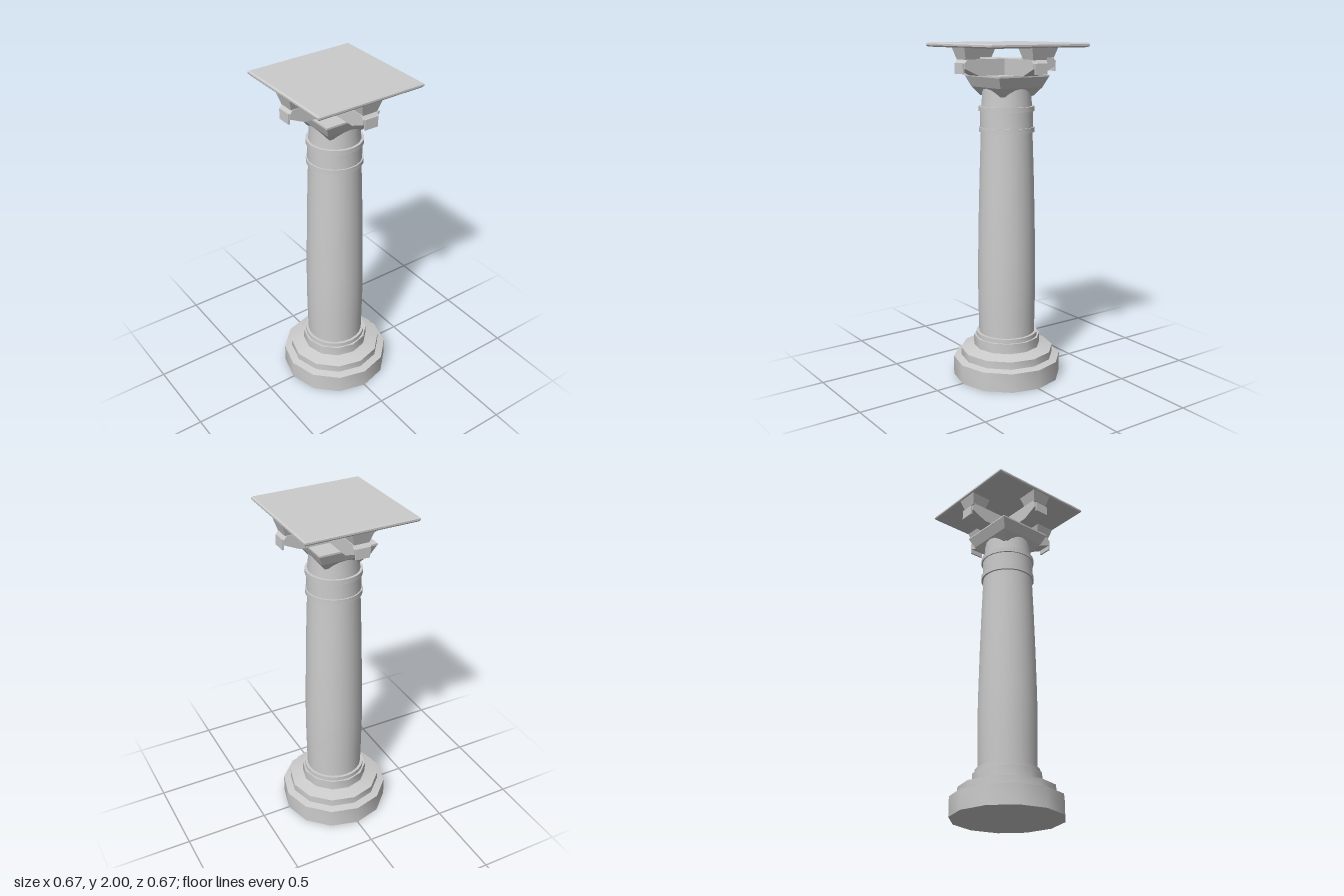
import * as THREE from 'three';
import { toCreasedNormals } from 'three/addons/utils/BufferGeometryUtils.js';

const stone = new THREE.MeshStandardMaterial({ color: 0xcccccc });
stone.name = 'grey stone';

function add(parent, name, geometry) {
  const mesh = new THREE.Mesh(geometry, stone);
  mesh.name = name;
  parent.add(mesh);
  return mesh;
}

// Turned part from [radius, height] pairs, bottom to top
function turned(points, sides, crease) {
  const profile = points.map(([r, y]) => new THREE.Vector2(r, y));
  return toCreasedNormals(new THREE.LatheGeometry(profile, sides), crease);
}

// Square block with different half widths at bottom and top
function taperedBlock(bottomHalf, topHalf, y0, y1) {
  const g = new THREE.BoxGeometry(2, y1 - y0, 2).translate(0, (y0 + y1) / 2, 0);
  const p = g.attributes.position;
  for (let i = 0; i < p.count; i++) {
    const half = p.getY(i) > (y0 + y1) / 2 ? topHalf : bottomHalf;
    p.setX(i, p.getX(i) * half);
    p.setZ(i, p.getZ(i) * half);
  }
  g.computeVertexNormals();
  return g;
}

export function createModel() {
  const column = new THREE.Group();
  column.name = 'column';

  // Twelve-sided stepped base
  add(column, 'base', turned([
    [0, 0], [0.325, 0], [0.325, 0.115], [0.28, 0.125], [0.28, 0.17],
    [0.2, 0.19], [0.2, 0.25], [0, 0.25]], 12, 0.6));
  add(column, 'baseCollar', turned([
    [0, 0.24], [0.185, 0.24], [0.185, 0.275], [0, 0.275]], 24, 0.6));

  // Shaft with a gentle swell, and neck
  add(column, 'shaft', turned([
    [0.168, 0.26], [0.171, 0.4], [0.174, 0.6], [0.172, 0.75], [0.167, 1.0],
    [0.16, 1.25], [0.151, 1.5], [0.148, 1.64], [0.143, 1.7], [0.143, 1.815]], 24, 0.6));

  // Neck band between two rings
  add(column, 'neckBand', turned([
    [0.14, 1.51], [0.155, 1.51], [0.155, 1.62], [0.14, 1.62]], 24, 0.6));
  for (const y of [1.492, 1.613]) {
    add(column, 'neckRing', turned([
      [0.14, y], [0.163, y], [0.163, y + 0.028], [0.14, y + 0.028]], 24, 0.6));
  }

  // Capital: square flare cutting into the round neck
  add(column, 'capitalFlareLower', taperedBlock(0.11, 0.147, 1.7, 1.75));
  add(column, 'capitalFlareUpper', taperedBlock(0.147, 0.173, 1.75, 1.81));
  add(column, 'capitalSlab', taperedBlock(0.175, 0.175, 1.81, 1.82));

  // Two crossed beams with raked ends
  const half = [[0.225, 1.82], [0.318, 1.862], [0.318, 1.89], [0.3, 1.912]];
  const outline = [...half, ...half.map(([x, y]) => [-x, y]).reverse()];
  const beamShape = new THREE.Shape(outline.map(([x, y]) => new THREE.Vector2(x, y)));
  const beam = new THREE.ExtrudeGeometry(beamShape, { depth: 0.1, bevelEnabled: false });
  beam.translate(0, 0, -0.05);
  for (const turn of [0, Math.PI / 2]) add(column, 'crossBeam', beam).rotation.y = turn;

  // Bracket and hanging tab at each beam end
  const bracket = taperedBlock(0.045, 0.065, 1.91, 1.976).translate(0.264, 0, 0);
  const tab = new THREE.BoxGeometry(0.01, 0.06, 0.084).translate(0.321, 1.862, 0);
  for (let i = 0; i < 4; i++) {
    add(column, 'bracket', bracket).rotation.y = i * Math.PI / 2;
    add(column, 'beamTab', tab).rotation.y = i * Math.PI / 2;
  }

  // Top plate with bevelled edges
  add(column, 'plateUnderside', taperedBlock(0.328, 0.335, 1.975, 1.983));
  add(column, 'plate', taperedBlock(0.335, 0.335, 1.983, 1.993));
  add(column, 'plateTop', taperedBlock(0.335, 0.328, 1.993, 2));

  return column;
}
